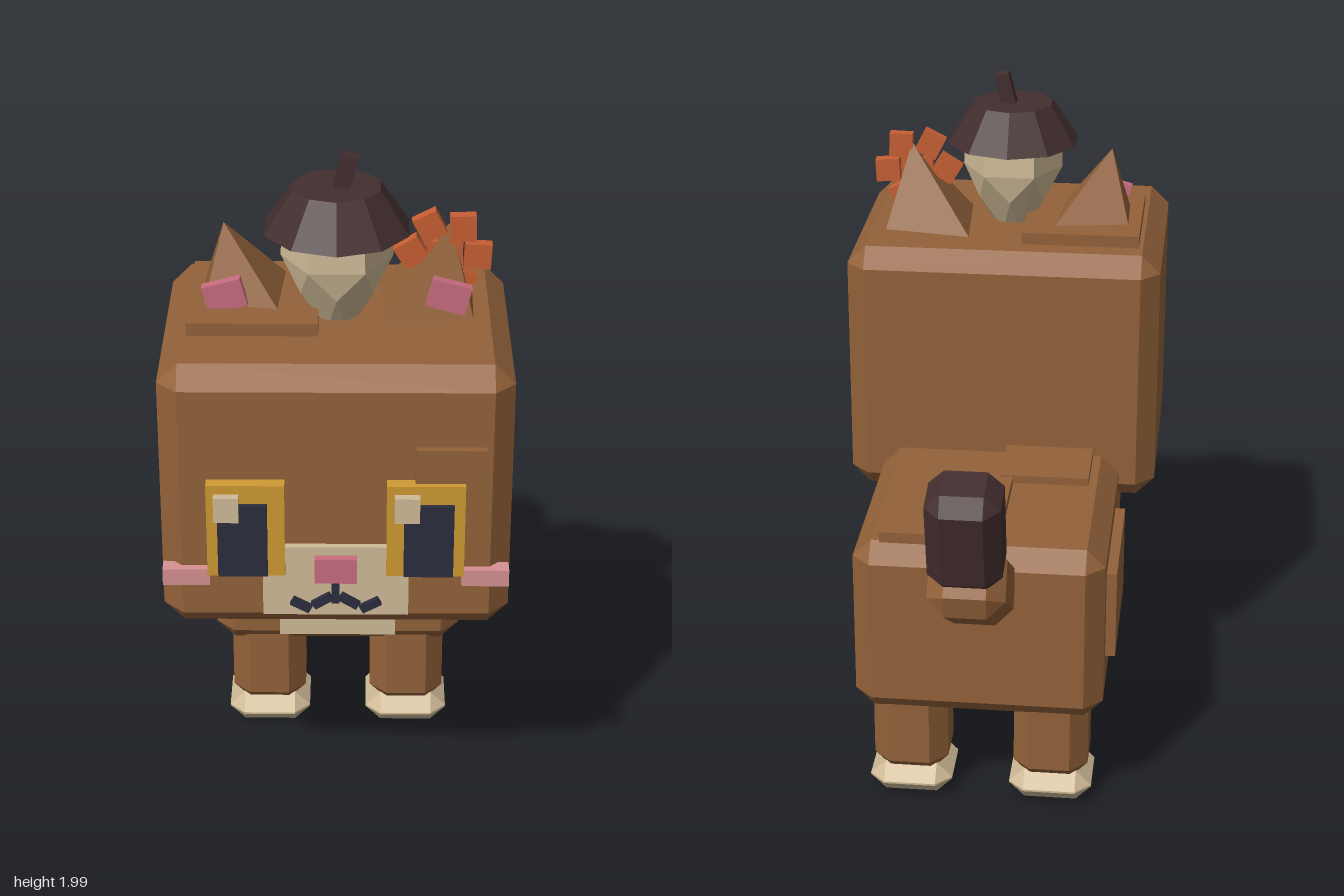
import * as THREE from 'three';
import { ConvexGeometry } from 'three/addons/geometries/ConvexGeometry.js';

const mat = (name, color) => {
  const m = new THREE.MeshStandardMaterial({ color });
  m.name = name;
  return m;
};

export function createModel() {
  const root = new THREE.Group();
  root.name = 'cat';

  const fur = mat('brown fur', 0x93623a);
  const cream = mat('cream', 0xd0bb97);
  const dark = mat('dark brown', 0x432e2f);
  const gold = mat('gold', 0xcf9a33);
  const navy = mat('dark navy', 0x2c2d3d);
  const pink = mat('pink', 0xc96c80);
  const blush = mat('blush pink', 0xd79092);
  const orange = mat('orange', 0xc75f33);

  const add = (name, geo, material, x = 0, y = 0, z = 0) => {
    const m = new THREE.Mesh(geo, material);
    m.name = name;
    m.position.set(x, y, z);
    root.add(m);
    return m;
  };
  const V = (x, y, z) => new THREE.Vector3(x, y, z);

  // Box from min/max ranges
  const slab = (name, material, [x0, x1], [y0, y1], [z0, z1]) =>
    add(name, new THREE.BoxGeometry(x1 - x0, y1 - y0, z1 - z0), material,
      (x0 + x1) / 2, (y0 + y1) / 2, (z0 + z1) / 2);

  // Box with every edge and corner chamfered by c
  const chamferBox = (w, h, d, c) => {
    const pts = [];
    for (const sx of [-1, 1]) for (const sy of [-1, 1]) for (const sz of [-1, 1]) {
      const x = w / 2, y = h / 2, z = d / 2;
      pts.push(V(sx * x, sy * (y - c), sz * (z - c)));
      pts.push(V(sx * (x - c), sy * y, sz * (z - c)));
      pts.push(V(sx * (x - c), sy * (y - c), sz * z));
    }
    return new ConvexGeometry(pts);
  };

  // Body, chest and raised fur patches
  add('body', chamferBox(0.74, 0.555, 0.91, 0.055), fur, 0, 0.6025, -0.115);
  slab('chest', cream, [-0.175, 0.175], [0.39, 0.8], [0.32, 0.375]);
  slab('leftBodyPatch', fur, [0.36, 0.4], [0.455, 0.705], [-0.135, 0.19]);
  slab('rightBodyPatch', fur, [-0.4, -0.36], [0.495, 0.77], [-0.45, -0.02]);
  slab('rearBackPatch', fur, [-0.06, 0.29], [0.86, 0.908], [-0.52, -0.115]);
  slab('frontBackPatch', fur, [-0.29, -0.02], [0.86, 0.905], [-0.1, 0.15]);

  // Legs and paws
  for (const s of [-1, 1]) for (const z of [0.188, -0.403]) {
    const side = (s > 0 ? 'left' : 'right') + (z > 0 ? 'Front' : 'Rear');
    add(side + 'Leg', chamferBox(0.225, 0.36, 0.23, 0.052), fur, s * 0.2125, 0.255, z);
    add(side + 'Paw', chamferBox(0.25, 0.1, 0.25, 0.047), cream, s * 0.2125, 0.055, z);
  }

  // Tail
  add('tailBase', chamferBox(0.22, 0.38, 0.215, 0.05), fur, 0, 0.842, -0.68).rotation.x = -1;
  add('tailTip', chamferBox(0.21, 0.325, 0.2, 0.045), dark, 0, 1.085, -0.822).rotation.x = -0.22;

  // Head
  add('head', chamferBox(0.96, 0.8, 0.765, 0.057), fur, 0, 1.13, 0.4975);
  slab('browPatch', fur, [0.215, 0.405], [1.06, 1.31], [0.86, 0.9]);
  slab('crownPatch', fur, [-0.41, -0.05], [1.51, 1.567], [0.235, 0.655]);

  // Face
  slab('muzzle', cream, [-0.2, 0.2], [0.795, 1.01], [0.86, 0.9]);
  slab('nose', pink, [-0.058, 0.058], [0.91, 0.985], [0.88, 0.925]);
  slab('mouthLine', navy, [-0.011, 0.011], [0.84, 0.915], [0.89, 0.915]);
  for (const s of [-1, 1]) {
    const side = s > 0 ? 'left' : 'right';
    add(side + 'Eye', new THREE.BoxGeometry(0.212, 0.28, 0.05), gold, s * 0.244, 1.07, 0.892);
    add(side + 'Pupil', new THREE.BoxGeometry(0.135, 0.22, 0.03), navy, s * 0.2525, 1.045, 0.915);
    add(side + 'EyeHighlight', new THREE.BoxGeometry(0.068, 0.075, 0.025), cream,
      s > 0 ? 0.193 : -0.295, 1.148, 0.931);
    add(side + 'Cheek', new THREE.BoxGeometry(0.13, 0.05, 0.045), blush, s * 0.41, 0.915, 0.88);
    const inner = new THREE.BoxGeometry(0.058, 0.024, 0.025);
    add(side + 'MouthInner', inner, navy, s * 0.037, 0.845, 0.9025).rotation.z = -s * 0.55;
    add(side + 'MouthOuter', inner, navy, s * 0.095, 0.832, 0.9025).rotation.z = s * 0.5;

    // Ears: leaning four-sided pyramids
    const ear = [[0.11, 1.52, 0.275], [0.39, 1.5, 0.31], [0.385, 1.5, 0.55],
      [0.13, 1.52, 0.585], [0.312, 1.777, 0.445]];
    add(side + 'Ear', new ConvexGeometry(ear.map(([x, y, z]) => V(s * x, y, z))), fur);
    add(side + 'InnerEar', new THREE.BoxGeometry(0.11, 0.082, 0.03), pink,
      s * 0.308, 1.602, 0.543).rotation.z = -s * 0.26;
  }

  // Flower behind the left ear
  for (let i = 0; i < 6; i++) {
    const a = -0.05 + (i * Math.PI) / 3;
    add('flowerPetal', new THREE.BoxGeometry(0.075, 0.072, 0.035), orange,
      0.297 + 0.092 * Math.cos(a), 1.69 + 0.092 * Math.sin(a), 0.452).rotation.z = a + 0.6 * (i % 2);
  }
  add('flowerCentre', new THREE.BoxGeometry(0.1, 0.1, 0.03), orange, 0.297, 1.68, 0.452);

  // Acorn: faceted nut, cap and stem
  const nut = [];
  for (const [y, r, turn] of [[1.82, 0.15, 0.5], [1.7, 0.155, 0.5], [1.61, 0.115, 0], [1.5, 0.05, 0.5]]) {
    for (let i = 0; i < 6; i++) {
      const a = ((i + turn) * Math.PI) / 3;
      nut.push(V(r * Math.sin(a), y, r * Math.cos(a)));
    }
  }
  add('acornNut', new ConvexGeometry(nut), cream, 0, 0, 0.49);
  const cap = new THREE.CylinderGeometry(0.125, 0.207, 0.122, 10).toNonIndexed();
  cap.computeVertexNormals();
  add('acornCap', cap, dark, 0, 1.843, 0.49);
  add('acornStem', new THREE.BoxGeometry(0.045, 0.13, 0.045), dark, 0.02, 1.93, 0.49).rotation.z = -0.25;

  return root;
}
